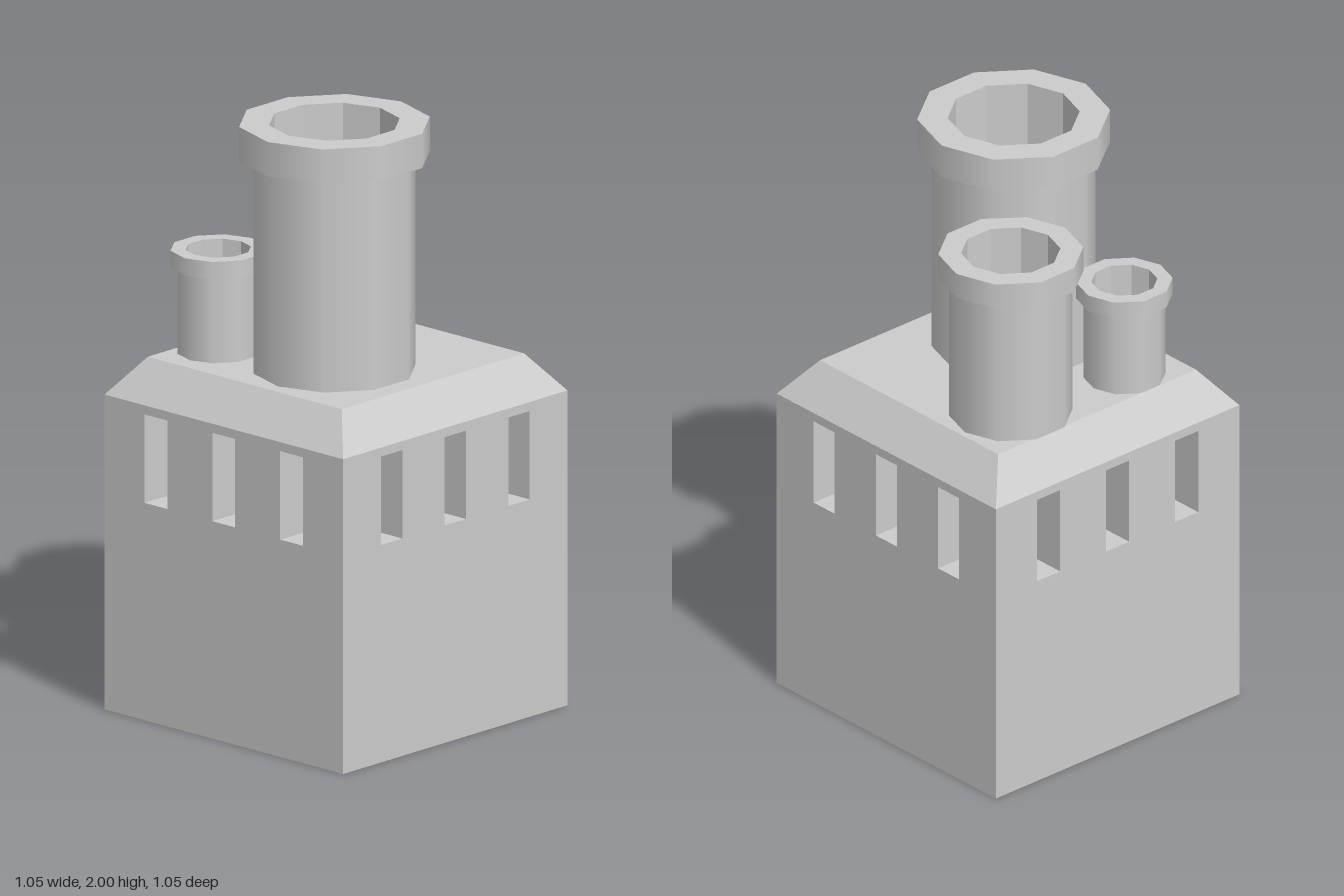
import * as THREE from 'three';
import { mergeGeometries } from 'three/addons/utils/BufferGeometryUtils.js';

const HALF = 0.523;      // half width of the block
const WALL_H = 1.05;     // top of the straight walls
const ROOF_Y = 1.175;    // flat top of the sloped cap
const ROOF_HALF = 0.425;
const DEPTH = 0.15;      // depth of the window slots

const material = new THREE.MeshStandardMaterial({ color: 0xcccccc });
const flatMaterial = new THREE.MeshStandardMaterial({ color: 0xcccccc, flatShading: true });

function rectangle(PathType, x0, y0, x1, y1) {
  return new PathType([[x0, y0], [x1, y0], [x1, y1], [x0, y1]].map(([x, y]) => new THREE.Vector2(x, y)));
}

// One wall slab with three slots, its ends mitred so four of them close the block
function wallGeometry() {
  const shape = rectangle(THREE.Shape, -HALF, 0, HALF, WALL_H);
  for (const x of [-0.297, 0, 0.297]) {
    shape.holes.push(rectangle(THREE.Path, x - 0.05, 0.725, x + 0.05, 1.02));
  }
  const geometry = new THREE.ExtrudeGeometry(shape, { depth: DEPTH, bevelEnabled: false });
  geometry.translate(0, 0, HALF - DEPTH);
  const p = geometry.attributes.position;
  for (let i = 0; i < p.count; i++) {
    if (Math.abs(p.getX(i)) > 0.5 && p.getZ(i) < HALF - DEPTH / 2) {
      p.setX(i, Math.sign(p.getX(i)) * (HALF - DEPTH));
    }
  }
  geometry.computeVertexNormals();
  return geometry;
}

// Ten-sided hollow pot: smooth outside, faceted bore, crisp edges between bands
function potGeometry(radius, rimY, top) {
  const body = radius * 0.85;
  const bore = radius * 0.685;
  const profile = [
    [body, ROOF_Y], [body, rimY], [radius, rimY], [radius, top], [bore, top], [bore, ROOF_Y],
  ].map(([x, y]) => new THREE.Vector2(x, y));
  const bands = [];
  for (let i = 0; i < profile.length - 1; i++) {
    const band = new THREE.LatheGeometry([profile[i], profile[i + 1]], 10).toNonIndexed();
    if (i === 4) band.computeVertexNormals();
    bands.push(band);
  }
  return mergeGeometries(bands).rotateY(Math.PI / 2);
}

export function createModel() {
  const model = new THREE.Group();
  model.name = 'chimneyStack';

  const add = (name, geometry, mat = material) => {
    const mesh = new THREE.Mesh(geometry, mat);
    mesh.name = name;
    model.add(mesh);
    return mesh;
  };

  // Block: core behind the slots and four walls around it
  const coreSize = 2 * (HALF - DEPTH);
  add('core', new THREE.BoxGeometry(coreSize, WALL_H, coreSize)).position.y = WALL_H / 2;
  const wall = wallGeometry();
  ['frontWall', 'leftWall', 'backWall', 'rightWall'].forEach((name, i) => {
    add(name, wall).rotation.y = i * Math.PI / 2;
  });

  // Sloped cap
  const cap = new THREE.CylinderGeometry(
    ROOF_HALF * Math.SQRT2, HALF * Math.SQRT2, ROOF_Y - WALL_H, 4).rotateY(Math.PI / 4);
  add('slopedCap', cap, flatMaterial).position.y = (WALL_H + ROOF_Y) / 2;

  // Chimney pots: name, x, z, rim radius, rim underside, top
  const pots = [
    ['largePot', -0.117, 0.103, 0.31, 1.885, 2],
    ['mediumPot', 0.207, -0.243, 0.233, 1.675, 1.762],
    ['smallPot', -0.23, -0.3, 0.155, 1.463, 1.52],
  ];
  for (const [name, x, z, radius, rimY, top] of pots) {
    add(name, potGeometry(radius, rimY, top)).position.set(x, 0, z);
  }
  return model;
}
